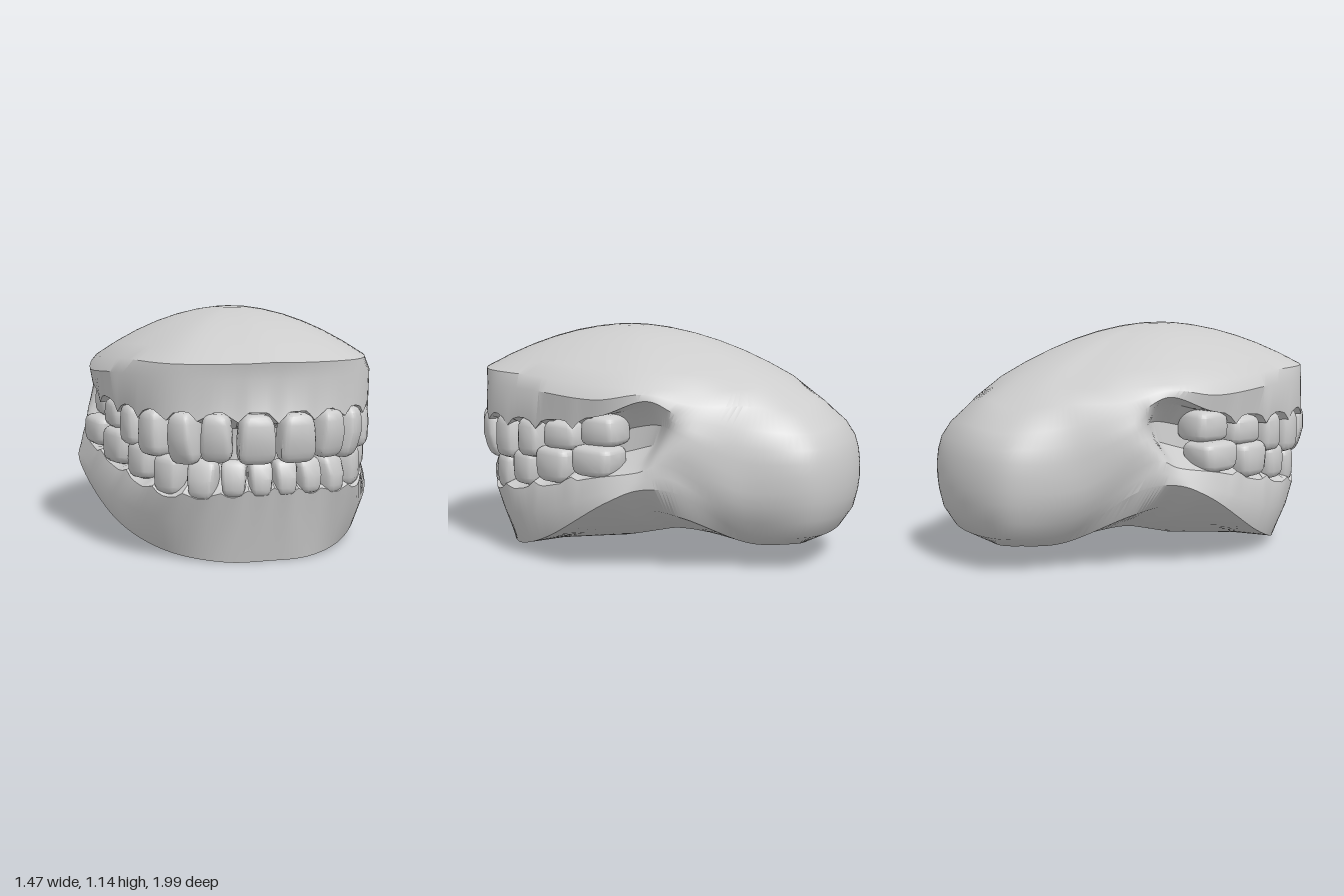
import * as THREE from 'three';
import { toCreasedNormals } from 'three/addons/utils/BufferGeometryUtils.js';

const SEGMENTS = 180;

// Each ring runs from the front centre round the left side to the back centre.
const upperRings = [
  // ridge, middle of the gum, gum lip, inner edge of the gum
  [[0, .93, .955], [.15, .925, .935], [.44, .92, .8], [.6, .915, .42], [.65, .89, .05], [.605, .885, -.18], [.49, .87, -.4], [.32, .87, -.55], [.18, .89, -.62], [0, .9, -.64]],
  [[0, .85, .935], [.15, .85, .92], [.46, .85, .79], [.635, .85, .42], [.685, .83, .05], [.63, .86, -.18], [.555, .81, -.38], [.4, .8, -.6], [.22, .77, -.77], [0, .8, -.81]],
  [[0, .71, .965], [.15, .71, .945], [.47, .71, .785], [.62, .71, .42], [.67, .75, .05], [.635, .83, -.19], [.59, .76, -.345], [.45, .7, -.6], [.28, .67, -.86], [0, .69, -.925]],
  [[0, .7, .9], [.14, .7, .88], [.41, .7, .72], [.53, .7, .42], [.56, .74, .08], [.57, .79, -.18], [.605, .725, -.335], [.47, .62, -.6], [.31, .6, -.895], [0, .61, -.97]],
];
const hollowRings = [
  [[0, .62, .82], [.13, .62, .81], [.34, .62, .67], [.43, .62, .4], [.47, .65, .08], [.5, .7, -.17], [.61, .69, -.325], [.48, .55, -.6], [.325, .54, -.905], [0, .54, -.99]],
  [[0, .45, .8], [.13, .45, .79], [.34, .46, .65], [.43, .48, .4], [.48, .54, .06], [.51, .6, -.15], [.625, .64, -.305], [.48, .48, -.6], [.33, .48, -.91], [0, .46, -1]],
];
const jawRings = [
  // gum inner edge, gum lip, jaw side, jaw rim
  [[0, .36, .86], [.14, .35, .84], [.4, .34, .7], [.53, .4, .42], [.6, .48, .08], [.6, .53, -.14], [.645, .59, -.285], [.48, .41, -.6], [.33, .41, -.91], [0, .39, -1]],
  [[0, .33, .91], [.15, .32, .89], [.45, .31, .75], [.6, .37, .42], [.69, .46, .06], [.675, .5, -.16], [.655, .54, -.27], [.465, .34, -.6], [.325, .35, -.905], [0, .33, -.993]],
  [[0, .2, .87], [.16, .2, .855], [.47, .2, .69], [.65, .26, .38], [.72, .39, .02], [.695, .46, -.17], [.65, .48, -.29], [.43, .26, -.6], [.31, .26, -.89], [0, .25, -.972]],
  [[0, 0, .82], [.2, .002, .8], [.44, .03, .62], [.62, .13, .36], [.735, .36, -.03], [.7, .42, -.17], [.63, .41, -.32], [.37, .18, -.6], [.27, .17, -.85], [0, .16, -.91]],
];
const undersideRings = [
  [[0, .01, .6], [.16, .015, .57], [.33, .05, .45], [.45, .12, .25], [.56, .24, -.05], [.58, .3, -.18], [.54, .27, -.33], [.3, .12, -.58], [.2, .11, -.74], [0, .085, -.77]],
  [[0, .05, .25], [.08, .05, .23], [.17, .06, .16], [.23, .09, .06], [.27, .13, -.08], [.27, .15, -.17], [.26, .15, -.25], [.17, .115, -.38], [.1, .1, -.45], [0, .1, -.47]],
];

// x, z, width, bottom, top, depth
const upperTeeth = [
  [.093, .925, .185, .475, .7, .13], [.26, .875, .15, .485, .705, .13],
  [.38, .78, .145, .465, .705, .15], [.465, .63, .155, .485, .71, .18],
  [.515, .47, .15, .51, .71, .19], [.545, .28, .215, .565, .71, .2],
  [.555, .07, .215, .595, .75, .2],
];
const lowerTeeth = [
  [.057, .865, .115, .32, .485, .12], [.172, .845, .125, .32, .485, .12],
  [.295, .78, .145, .3, .485, .14], [.41, .67, .15, .31, .5, .16],
  [.485, .51, .17, .36, .54, .19], [.555, .315, .225, .4, .58, .2],
  [.605, .08, .25, .455, .605, .2],
];

// Smooth closed ring from a half ring and its mirror
function ring(half) {
  const points = half.map(p => new THREE.Vector3(...p));
  const mirrored = half.slice(1, -1).reverse().map(([x, y, z]) => new THREE.Vector3(-x, y, z));
  const curve = new THREE.CatmullRomCurve3([...points, ...mirrored], true);
  return Array.from({ length: SEGMENTS }, (_, i) => curve.getPoint(i / SEGMENTS));
}

// Gum edge drawn to a point in every gap between teeth
function scallop(points, teeth, reach) {
  const angle = (x, z) => Math.atan2(x, z - .1);
  const gaps = teeth.slice(1).map(([x, z], i) => angle((x + teeth[i][0]) / 2, (z + teeth[i][1]) / 2));
  gaps.push(0);
  for (const p of points) {
    const a = angle(Math.abs(p.x), p.z);
    const distance = Math.min(...gaps.map(g => Math.abs(a - g))) * Math.hypot(p.x, p.z - .1);
    p.y += reach * Math.max(0, 1 - distance / .05);
  }
  return points;
}

function loft(rings) {
  const positions = rings.flat().flatMap(p => [p.x, p.y, p.z]);
  const index = [];
  for (let l = 0; l < rings.length - 1; l++) {
    for (let i = 0; i < SEGMENTS; i++) {
      const a = l * SEGMENTS + i, b = l * SEGMENTS + (i + 1) % SEGMENTS;
      const c = a + SEGMENTS, d = b + SEGMENTS;
      index.push(a, c, b, b, c, d);
    }
  }
  const geometry = new THREE.BufferGeometry();
  geometry.setAttribute('position', new THREE.Float32BufferAttribute(positions, 3));
  geometry.setIndex(index);
  return toCreasedNormals(geometry, 0.6);
}

// Rounded block crown; taper narrows the neck (the +y end)
function crown(width, height, depth, taper, molar) {
  const geometry = new THREE.SphereGeometry(1, 16, 10);
  const p = geometry.attributes.position;
  const square = v => Math.sign(v) * Math.abs(v) ** 0.5;
  for (let i = 0; i < p.count; i++) {
    const x = square(p.getX(i)), y = square(p.getY(i)), z = square(p.getZ(i));
    const neck = 1 - taper * (y + 1) / 2;
    const edge = molar ? 1 : 1 - 0.4 * Math.max(0, -y);
    p.setXYZ(i, x * neck * width / 2, y * height / 2, z * edge * depth / 2);
  }
  return toCreasedNormals(geometry, 0.6);
}

export function createModel() {
  const model = new THREE.Group();
  const grey = new THREE.MeshStandardMaterial({ color: 0xcccccc });
  grey.name = 'plain grey';

  function add(parent, geometry, name) {
    const mesh = new THREE.Mesh(geometry, grey);
    mesh.name = name;
    parent.add(mesh);
    return mesh;
  }

  // Domed palate, gums, jaw and rounded back as one skin
  const [ridge, gumSide, upperLip, upperInner] = upperRings.map(ring);
  const [lowerInner, lowerLip, jawSide, jawRim] = jawRings.map(ring);
  const apex = new THREE.Vector3(0, 1.14, .2);
  const dome = [0, .12, .25, .4, .55, .7, .85].map(s => ridge.map(p => {
    const q = apex.clone().lerp(p, s);
    q.y = p.y + (apex.y - p.y) * (1 - s ** 1.9);
    return q;
  }));
  const base = ridge.map(() => new THREE.Vector3(0, .115, -.12));
  add(model, loft([
    ...dome, ridge, gumSide,
    scallop(upperLip, upperTeeth, -.05), scallop(upperInner, upperTeeth, -.05),
    ...hollowRings.map(ring),
    scallop(lowerInner, lowerTeeth, .03), scallop(lowerLip, lowerTeeth, .03),
    jawSide, jawRim, ...undersideRings.map(ring), base,
  ]), 'gumsAndJaw');

  // Mirrored rows of teeth, each tooth turned to follow the arch
  function toothRow(teeth, upper, name) {
    const row = new THREE.Group();
    row.name = name;
    teeth.forEach(([x, z, width, bottom, top, depth], i) => {
      const before = teeth[i - 1] || [-x, z];
      const after = teeth[i + 1] || [x + .02, z - .2];
      const yaw = i === 0 ? .08 : Math.atan2(before[1] - after[1], after[0] - before[0]);
      const molar = i > 2;
      const geometry = crown(width, top - bottom, depth, molar ? .12 : .18, molar);
      for (const side of [1, -1]) {
        const tooth = add(row, geometry, molar ? 'molar' : 'frontTooth');
        tooth.position.set(side * x, (top + bottom) / 2, z);
        tooth.rotation.set(0, side * yaw + (upper ? 0 : Math.PI), upper ? 0 : Math.PI, 'YXZ');
      }
    });
    model.add(row);
  }
  toothRow(upperTeeth, true, 'upperTeeth');
  toothRow(lowerTeeth, false, 'lowerTeeth');

  return model;
}
